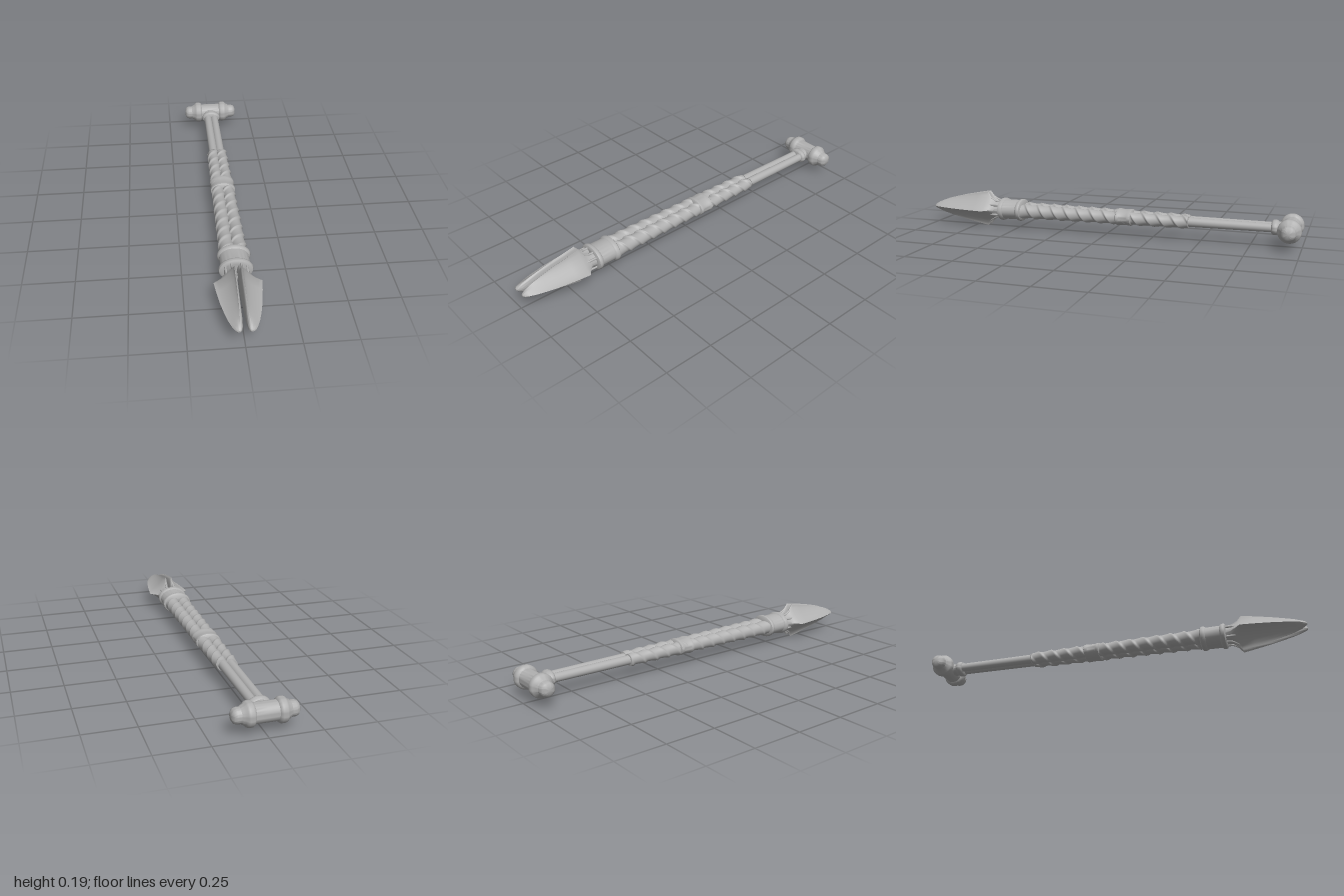
import * as THREE from 'three';
import { toCreasedNormals } from 'three/addons/utils/BufferGeometryUtils.js';

const CY = 0.094; // height of the long axis
const lerp = THREE.MathUtils.lerp;

// Closed tube of cross-sections running along +z; point(i, j) -> [x, y, z], counter-clockwise in xy.
function loft(rings, sides, point, mirror = false) {
  const pos = [], index = [];
  const tri = (a, b, c) => (mirror ? index.push(a, c, b) : index.push(a, b, c));
  for (let i = 0; i < rings; i++) {
    const c = [0, 0, 0];
    for (let j = 0; j < sides; j++) {
      const p = point(i, j);
      pos.push(mirror ? -p[0] : p[0], p[1], p[2]);
    }
  }
  for (let i = 0; i < rings - 1; i++) {
    for (let j = 0; j < sides; j++) {
      const k = (j + 1) % sides, a = i * sides, b = a + sides;
      tri(a + j, a + k, b + k);
      tri(a + j, b + k, b + j);
    }
  }
  // End caps fan out from a centre point
  for (const i of [0, rings - 1]) {
    const centre = pos.length / 3, sum = [0, 0, 0];
    for (let j = 0; j < sides; j++) for (let n = 0; n < 3; n++) sum[n] += pos[(i * sides + j) * 3 + n] / sides;
    pos.push(...sum);
    for (let j = 0; j < sides; j++) {
      const a = i * sides + j, b = i * sides + (j + 1) % sides;
      if (i === 0) tri(centre, b, a); else tri(centre, a, b);
    }
  }
  const g = new THREE.BufferGeometry();
  g.setAttribute('position', new THREE.Float32BufferAttribute(pos, 3));
  g.setIndex(index);
  g.computeVertexNormals();
  return g;
}

// Lathe from [radius, along] pairs, lying along the z axis
function turned(profile, sides = 40) {
  const g = new THREE.LatheGeometry(profile.map(([r, h]) => new THREE.Vector2(r, h)), sides);
  return toCreasedNormals(g.rotateX(Math.PI / 2), 0.7);
}

// Blade sections: z, outer reach, half height, inner face x, ridge x, hollowness
const SECTIONS = [
  [0.59, 0.056, 0.040, 0.004, 0.022, 1.0],
  [0.63, 0.058, 0.042, 0.004, 0.022, 1.3],
  [0.655, 0.080, 0.062, 0.004, 0.020, 2.0],
  [0.68, 0.111, 0.094, 0.005, 0.018, 2.7],
  [0.74, 0.105, 0.083, 0.005, 0.018, 2.7],
  [0.82, 0.094, 0.067, 0.006, 0.018, 2.6],
  [0.89, 0.080, 0.050, 0.007, 0.019, 2.4],
  [0.94, 0.067, 0.036, 0.008, 0.021, 2.1],
  [0.975, 0.054, 0.022, 0.011, 0.024, 1.7],
  [0.993, 0.044, 0.011, 0.016, 0.027, 1.2],
  [1.0, 0.035, 0.004, 0.022, 0.028, 1.0],
];

function blade(mirror) {
  const half = 16;
  const g = loft(SECTIONS.length, half * 2, (i, j) => {
    const [z, W, H, inner, ridge, e] = SECTIONS[i];
    if (j <= half) { // hollow outer faces meeting at the side edge
      const t = -Math.PI / 2 + (j / half) * Math.PI;
      const s = Math.sin(t);
      return [ridge + (W - ridge) * Math.pow(Math.abs(Math.cos(t)), e), CY + H * Math.sign(s) * Math.pow(Math.abs(s), e), z];
    }
    const t = ((j - half) / half) * Math.PI; // shallow inner face
    return [lerp(ridge, inner, Math.sin(t)), CY + H * Math.cos(t), z];
  }, mirror);
  return toCreasedNormals(g, 0.75);
}

// Rod with overlapping spiral wrapping
function wrappedRod(mirror) {
  const rings = 230, sides = 36, z0 = -0.44, z1 = 0.5, spacing = 0.072;
  return loft(rings, sides, (i, j) => {
    const u = i / (rings - 1), z = lerp(z0, z1, u);
    const t = (j / sides) * Math.PI * 2;
    const turn = 2 * (mirror ? Math.PI - t : t) / (Math.PI * 2);
    const f = (((z / spacing - turn) % 1) + 1) % 1;
    const lip = f < 0.82 ? f / 0.82 : (1 - f) / 0.18;
    const r = lerp(0.027, 0.034, u) + 0.007 * lip * lip;
    return [lerp(0.023, 0.030, u) + r * Math.cos(t), CY + r * Math.sin(t), z];
  }, mirror);
}

export function createModel() {
  const model = new THREE.Group();
  const metal = new THREE.MeshStandardMaterial({ color: 0xb0b0b0 });
  metal.name = 'grey';
  const add = (name, geometry, parent = model) => {
    const mesh = new THREE.Mesh(geometry, metal);
    mesh.name = name;
    parent.add(mesh);
    return mesh;
  };

  // Cross handle with collars and domed ends
  const halfBar = [
    [0.046, 0.0], [0.046, 0.052], [0.053, 0.056], [0.058, 0.064], [0.058, 0.082], [0.054, 0.09],
    [0.046, 0.096], [0.042, 0.106], [0.037, 0.112], [0.037, 0.13], [0.032, 0.143], [0.02, 0.151], [0, 0.154],
  ];
  const bar = [...halfBar.slice(1).reverse().map(([r, h]) => [r, -h]), ...halfBar];
  add('crossHandle', turned(bar).rotateY(Math.PI / 2)).position.set(0, CY, -0.942);

  // Neck joining the handle to the shaft
  const neck = turned([
    [0, -0.94], [0.04, -0.94], [0.042, -0.9], [0.04, -0.886], [0.047, -0.88], [0.052, -0.872],
    [0.052, -0.86], [0.047, -0.853], [0.04, -0.85], [0, -0.85],
  ]);
  add('neckCollar', neck.scale(1, 0.72, 1)).position.y = CY;

  // Middle band and front cuff
  const band = turned([
    [0, -0.142], [0.056, -0.142], [0.064, -0.137], [0.065, -0.125], [0.062, -0.118], [0.062, -0.08],
    [0.066, -0.073], [0.065, -0.062], [0.056, -0.057], [0, -0.057],
  ]);
  add('middleBand', band.scale(1, 0.66, 1)).position.y = CY;
  const cuff = turned([
    [0, 0.472], [0.066, 0.472], [0.077, 0.478], [0.08, 0.486], [0.077, 0.496], [0.07, 0.502], [0.071, 0.575],
    [0.078, 0.579], [0.082, 0.589], [0.079, 0.599], [0.068, 0.604], [0.05, 0.604], [0, 0.6],
  ]);
  add('frontCuff', cuff.scale(1, 0.74, 1)).position.y = CY;

  for (const side of [1, -1]) {
    const word = side > 0 ? 'left' : 'right', mirror = side < 0;

    // Bare rod, slightly thicker toward the wrapping
    const rod = new THREE.CylinderGeometry(0.024, 0.0215, 0.46, 28).rotateX(Math.PI / 2);
    add(word + 'Rod', rod).position.set(side * 0.019, CY, -0.64);
    add(word + 'Wrapping', wrappedRod(mirror));

    // Blade with tendons at its root and small raised marks
    const head = new THREE.Group();
    head.name = word + 'Blade';
    model.add(head);
    add(word + 'BladeBody', blade(mirror), head);
    const ridge = (name, r, points) => {
      const curve = new THREE.CatmullRomCurve3(points.map(([x, y, z]) => new THREE.Vector3(side * x, CY + y, z)));
      add(name, new THREE.TubeGeometry(curve, 10, r, 8), head);
    };
    for (const up of [1, -1]) {
      ridge('rootTendon', 0.006, [[0.024, 0.042 * up, 0.59], [0.022, 0.044 * up, 0.63], [0.02, 0.066 * up, 0.67]]);
      ridge('rootTendon', 0.006, [[0.05, 0.026 * up, 0.59], [0.05, 0.026 * up, 0.63], [0.046, 0.022 * up, 0.69]]);
      for (const z of [0.715, 0.745]) {
        ridge('raisedMark', 0.004, [[0.027, 0.042 * up, z], [0.037, 0.025 * up, z + 0.006], [0.055, 0.013 * up, z - 0.004]]);
      }
    }
  }
  return model;
}
